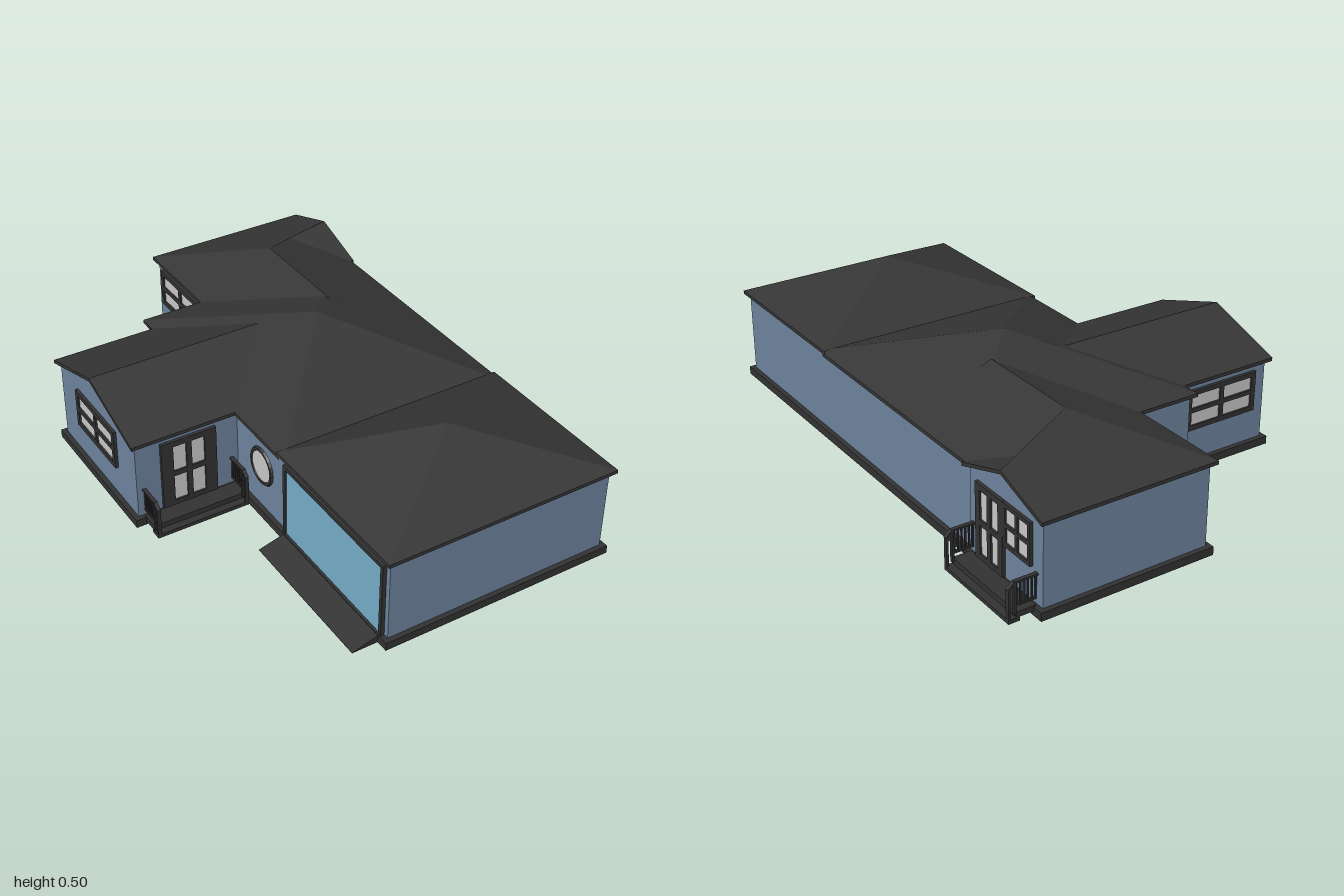
import * as THREE from 'three';

const mat = (color, side = THREE.FrontSide) =>
  new THREE.MeshStandardMaterial({ color, side, flatShading: true });
const WALL = mat(0x6f86a0, THREE.DoubleSide);
const ROOF = mat(0x363636, THREE.DoubleSide);
const TRIM = mat(0x333333);
const GLASS = mat(0xcccccc);
const GARAGE = mat(0x78b0cc);

// Outer footprint as [x, z]; roof eaves and foundation share it
const OUTLINE = [[-0.3, 1], [0.585, 1], [0.585, -0.57], [0.595, -0.57], [0.595, -1], [-0.06, -1],
  [-0.06, -0.61], [-0.3, -0.61], [-0.3, -0.54], [-0.69, -0.54], [-0.69, 0.07], [-0.3, 0.07]];

export function createModel() {
  const house = new THREE.Group();
  house.name = 'house';

  const add = (parent, name, geometry, material, x = 0, y = 0, z = 0) => {
    const mesh = new THREE.Mesh(geometry, material);
    mesh.name = name;
    mesh.position.set(x, y, z);
    parent.add(mesh);
    return mesh;
  };
  const box = (parent, name, w, h, d, x, y, z, material = TRIM) =>
    add(parent, name, new THREE.BoxGeometry(w, h, d), material, x, y, z);

  // Flat polygons, each cut into a fan of triangles
  const polygons = (name, faces, material) => {
    const pos = [];
    for (const f of faces)
      for (let i = 1; i < f.length - 1; i++) pos.push(...f[0], ...f[i], ...f[i + 1]);
    const g = new THREE.BufferGeometry();
    g.setAttribute('position', new THREE.Float32BufferAttribute(pos, 3));
    g.computeVertexNormals();
    return add(house, name, g, material);
  };
  // Vertical strip hanging down from a path
  const band = (name, path, drop, material) => {
    const low = ([x, y, z]) => [x, y - drop, z];
    const faces = [];
    for (let i = 0; i < path.length - 1; i++)
      faces.push([path[i], low(path[i]), low(path[i + 1]), path[i + 1]]);
    return polygons(name, faces, material);
  };
  // Right-angled outline moved inward by d
  const inset = (pts, d) => pts.map((p, i) => {
    const a = pts[(i + pts.length - 1) % pts.length], b = pts[(i + 1) % pts.length];
    return [p[0] + d * (Math.sign(p[1] - a[1]) + Math.sign(b[1] - p[1])),
      p[1] - d * (Math.sign(p[0] - a[0]) + Math.sign(b[0] - p[0]))];
  });
  const toShape = (pts) => new THREE.Shape(pts.map(([x, z]) => new THREE.Vector2(x, z)));

  // Foundation ring, garage floor and drive ramp
  const ring = toShape(OUTLINE);
  ring.holes.push(toShape(inset(OUTLINE, 0.03)));
  const base = new THREE.ExtrudeGeometry(ring, { depth: 0.03, bevelEnabled: false });
  base.rotateX(Math.PI / 2);
  add(house, 'foundation', base, TRIM, 0, 0.03, 0);
  box(house, 'garageFloor', 0.86, 0.026, 0.61, 0.14, 0.014, 0.685);
  const rampShape = toShape([[-0.395, 0], [-0.29, 0], [-0.29, 0.03], [-0.395, 0.002]]);
  add(house, 'driveRamp', new THREE.ExtrudeGeometry(rampShape, { depth: 0.57, bevelEnabled: false }),
    TRIM, 0, 0, 0.385);

  // Walls and gable ends
  const walls = inset(OUTLINE, 0.018).map(([x, z]) => [x, 0.338, z]);
  band('walls', [...walls, walls[0]], 0.31, WALL);
  polygons('gableEnds', [
    [[-0.672, 0.337, -0.522], [-0.672, 0.337, 0.052], [-0.672, 0.432, -0.235]],
    [[0.577, 0.337, -0.588], [0.577, 0.337, -0.982], [0.577, 0.404, -0.785]],
  ], WALL);

  // Hipped roofs: four slopes meeting at one apex
  const hip = (name, x0, x1, z0, z1, y, apex) => {
    const c = [[x0, y, z0], [x0, y, z1], [x1, y, z1], [x1, y, z0]];
    polygons(name, c.map((p, i) => [p, c[(i + 1) % 4], apex]), ROOF);
  };
  hip('garageRoof', -0.3, 0.585, 0.345, 1, 0.348, [0.14, 0.5, 0.67]);
  hip('mainRoof', -0.3, 0.585, -0.61, 0.39, 0.337, [0.14, 0.497, -0.11]);

  const E = 0.337;
  // Rear wing roof with a gable turned to the side
  const r1 = [0.26, 0.457, -0.22], r2 = [0.26, 0.457, -0.64];
  const g1 = [0.39, 0.408, -0.785], g2 = [0.595, 0.408, -0.785];
  polygons('rearRoof', [
    [[-0.06, E, -1], [-0.06, E, -0.61], r1, r2],
    [r2, r1, [0.585, E, -0.22], [0.585, E, -0.57], g1],
    [r2, g1, g2, [0.595, E, -1], [-0.06, E, -1]],
    [g1, [0.585, E, -0.57], [0.595, E, -0.57], g2],
  ], ROOF);
  // Gabled roof of the entrance wing
  const e1 = [-0.69, 0.437, -0.235], e2 = [-0.025, 0.437, -0.235];
  polygons('entranceRoof', [
    [[-0.69, E, 0.07], [-0.3, E, 0.07], e2, e1],
    [e1, e2, [-0.3, E, -0.54], [-0.69, E, -0.54]],
  ], ROOF);

  // Eave boards and gable rakes
  const eave = (pts, y = E) => band('eaveBoard', pts.map(([x, z]) => [x, y, z]), 0.013, ROOF);
  eave([[-0.3, 0.345], [-0.3, 1], [0.585, 1], [0.585, 0.345]], 0.348);
  eave([[0.585, 0.36], [0.585, -0.57], [0.595, -0.57]]);
  eave([[0.595, -1], [-0.06, -1], [-0.06, -0.61], [-0.3, -0.61], [-0.3, -0.54], [-0.69, -0.54]]);
  eave([[-0.69, 0.07], [-0.3, 0.07], [-0.3, 0.36]]);
  band('rearRake', [[0.595, E, -0.57], g2, [0.595, E, -1]], 0.013, ROOF);
  band('entranceRake', [[-0.69, E, 0.07], e1, [-0.69, E, -0.54]], 0.013, ROOF);

  // Two-by-two glazed frame; x, y, z is the bottom centre on the wall
  const opening = (name, w, h, bx, by, bar, x, y, z, turn, isDoor = false) => {
    const g = new THREE.Group();
    g.name = name;
    const rect = (l, b, rw, rh) => toShape([[l, b], [l + rw, b], [l + rw, b + rh], [l, b + rh]]);
    const frame = rect(-w / 2, 0, w, h);
    const pw = (w - 2 * bx - bar) / 2, ph = (h - 2 * by - bar) / 2;
    for (const i of [0, 1]) for (const j of [0, 1])
      frame.holes.push(rect(-w / 2 + bx + i * (pw + bar), by + j * (ph + bar), pw, ph));
    const back = isDoor ? 0.012 : 0;
    add(g, 'frame', new THREE.ExtrudeGeometry(frame, { depth: back + 0.012, bevelEnabled: false }),
      TRIM, 0, 0, -back);
    box(g, 'glass', w - 0.01, h - 0.01, 0.01, 0, h / 2, 0, GLASS);
    g.position.set(x, y, z);
    g.rotation.y = turn;
    house.add(g);
  };
  const Q = Math.PI / 2;
  opening('entranceDoor', 0.21, 0.27, 0.045, 0.022, 0.02, -0.475, 0.03, 0.052, 0, true);
  opening('sideDoor', 0.15, 0.27, 0.025, 0.022, 0.02, 0.577, 0.03, -0.708, Q, true);
  opening('sideWindow', 0.145, 0.15, 0.014, 0.014, 0.014, 0.577, 0.15, -0.857, Q);
  opening('entranceWingSideWindow', 0.3, 0.15, 0.018, 0.018, 0.016, -0.672, 0.15, -0.235, -Q);
  opening('entranceWingBackWindow', 0.3, 0.15, 0.018, 0.018, 0.016, -0.475, 0.15, -0.522, 2 * Q);
  opening('rearWingWindow', 0.3, 0.15, 0.018, 0.018, 0.016, -0.042, 0.15, -0.8, -Q);

  // Round window
  const rim = add(house, 'roundWindowFrame', new THREE.TorusGeometry(0.064, 0.009, 6, 24), TRIM, -0.282, 0.2, 0.22);
  rim.rotation.y = Q;
  const disc = add(house, 'roundWindowGlass', new THREE.CylinderGeometry(0.062, 0.062, 0.01, 24), GLASS, -0.282, 0.2, 0.22);
  disc.rotation.z = Q;

  // Garage door with its surround
  box(house, 'garageDoor', 0.012, 0.27, 0.56, -0.284, 0.165, 0.67, GARAGE);
  for (const z of [0.384, 0.956]) box(house, 'garageDoorPost', 0.02, 0.28, 0.014, -0.286, 0.17, z);
  box(house, 'garageDoorLintel', 0.02, 0.014, 0.586, -0.286, 0.307, 0.67);

  // Porch: landing, lower step and two railings, running out along +z
  const porch = (name, w, x, z, turn) => {
    const g = new THREE.Group();
    g.name = name;
    box(g, 'landing', w, 0.02, 0.07, 0, 0.024, 0.025);
    box(g, 'step', w, 0.014, 0.04, 0, 0.007, 0.068);
    for (const s of [-1, 1]) {
      const rx = s * (w / 2 - 0.007);
      box(g, 'topRail', 0.014, 0.007, 0.085, rx, 0.137, 0.025);
      box(g, 'bottomRail', 0.01, 0.007, 0.075, rx, 0.056, 0.025);
      for (let i = 0; i < 6; i++) box(g, 'baluster', 0.006, 0.08, 0.005, rx, 0.096, -0.012 + i * 0.0135);
      box(g, 'railPost', 0.012, 0.115, 0.008, rx, 0.08, 0.063);
      box(g, 'newelPost', 0.014, 0.118, 0.008, rx, 0.059, 0.084);
      const slope = box(g, 'slopedRail', 0.014, 0.007, 0.03, rx, 0.127, 0.076);
      slope.rotation.x = 0.75;
    }
    g.position.set(x, 0, z);
    g.rotation.y = turn;
    house.add(g);
  };
  porch('entrancePorch', 0.352, -0.477, 0.07, 0);
  porch('sidePorch', 0.358, 0.595, -0.78, Q);

  return house;
}
